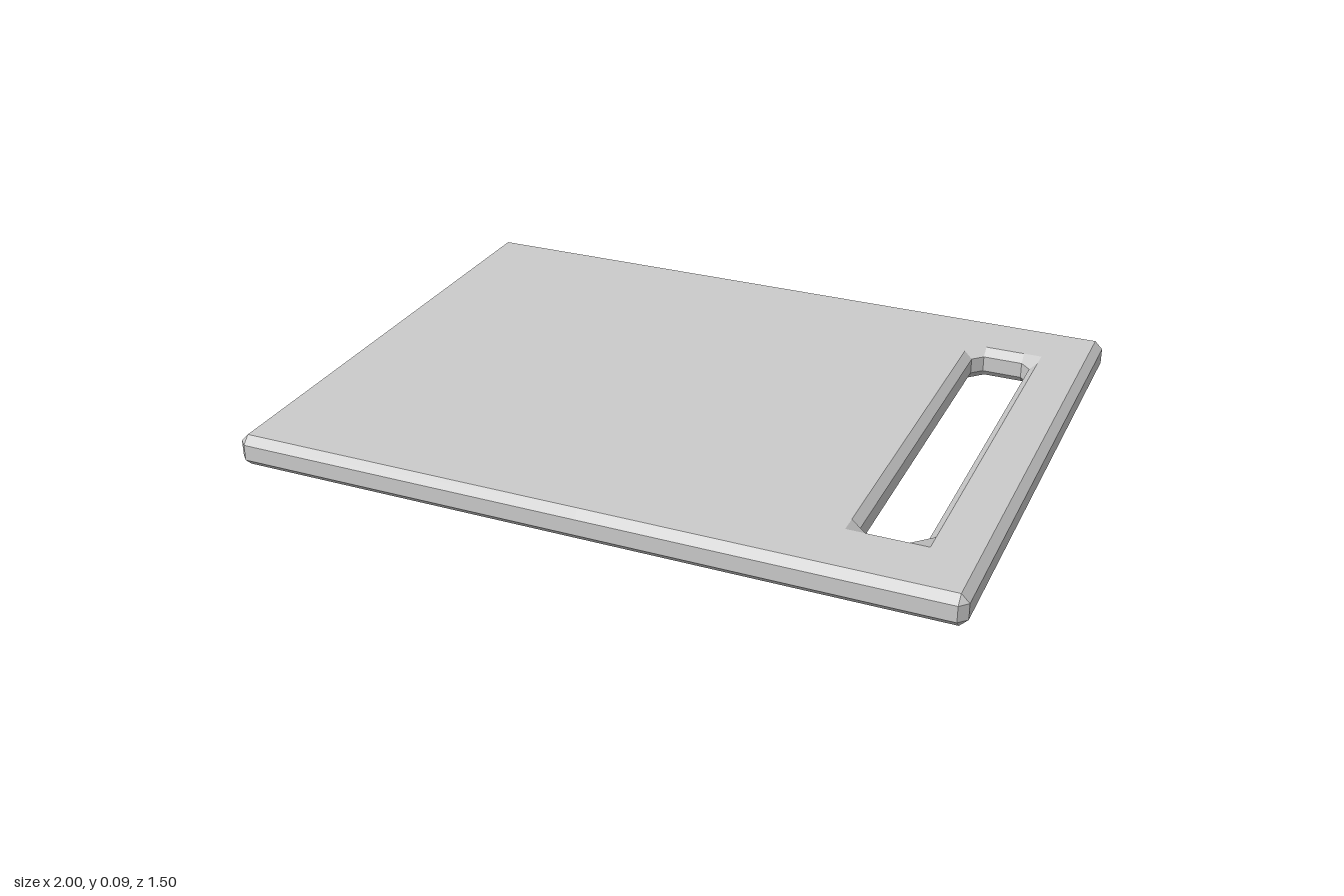
import * as THREE from 'three';

const X = 1, Z = 0.752, H = 0.0445, C = 0.022; // half sizes of the board, chamfer
const SLOT_X = 0.749; // slot centre
const SX = 0.107, SZ = 0.565; // half size of the slot rim
const CX = 0.056, CZ = 0.515; // where the slot's corner cuts begin

export function createModel() {
  const pos = [], nor = [];

  // Flat polygon fanned from its first point, turned to look along "out"
  function face(pts, out) {
    const n = new THREE.Vector3();
    pts.forEach((p, i) => n.add(p.clone().cross(pts[(i + 1) % pts.length])));
    n.normalize();
    const flip = n.dot(out) < 0;
    if (flip) n.negate();
    for (let i = 1; i < pts.length - 1; i++) {
      const tri = flip ? [pts[0], pts[i + 1], pts[i]] : [pts[0], pts[i], pts[i + 1]];
      for (const p of tri) {
        pos.push(p.x, p.y + H, p.z);
        nor.push(n.x, n.y, n.z);
      }
    }
  }

  // One octant, mirrored in x, y and z
  for (const sx of [1, -1]) for (const sy of [1, -1]) for (const sz of [1, -1]) {
    const dir = (x, y, z) => new THREE.Vector3(sx * x, sy * y, sz * z);
    const O = dir; // point on the outer edge
    const I = (x, y, z) => dir(x, y, z).add(new THREE.Vector3(SLOT_X, 0, 0)); // point on the slot
    const m = H - C, x0 = X - C, z0 = Z - C, sx0 = SX - C, sz0 = SZ - C;

    // Flat face around the slot
    face([O(x0, H, 0), O(x0, H, z0), I(SX, H, SZ), I(SX, H, CZ), I(SX, H, 0)], dir(0, 1, 0));
    face([O(0, H, z0), O(x0, H, z0), I(SX, H, SZ), I(CX, H, SZ), I(0, H, SZ)], dir(0, 1, 0));

    // Outer chamfers, walls and corners
    face([O(x0, H, 0), O(x0, H, z0), O(X, m, z0), O(X, m, 0)], dir(1, 1, 0));
    face([O(0, H, z0), O(x0, H, z0), O(x0, m, Z), O(0, m, Z)], dir(0, 1, 1));
    face([O(X, m, 0), O(X, m, z0), O(X, 0, z0), O(X, 0, 0)], dir(1, 0, 0));
    face([O(0, m, Z), O(x0, m, Z), O(x0, 0, Z), O(0, 0, Z)], dir(0, 0, 1));
    face([O(X, m, z0), O(x0, m, Z), O(x0, 0, Z), O(X, 0, z0)], dir(1, 0, 1));
    face([O(x0, H, z0), O(X, m, z0), O(x0, m, Z)], dir(1, 1, 1));

    // Slot chamfers, walls and corners
    face([I(SX, H, 0), I(SX, H, CZ), I(sx0, m, CZ), I(sx0, m, 0)], dir(-1, 1, 0));
    face([I(0, H, SZ), I(CX, H, SZ), I(CX, m, sz0), I(0, m, sz0)], dir(0, 1, -1));
    face([I(sx0, m, 0), I(sx0, m, CZ), I(sx0, 0, CZ), I(sx0, 0, 0)], dir(-1, 0, 0));
    face([I(0, m, sz0), I(CX, m, sz0), I(CX, 0, sz0), I(0, 0, sz0)], dir(0, 0, -1));
    face([I(sx0, m, CZ), I(CX, m, sz0), I(CX, 0, sz0), I(sx0, 0, CZ)], dir(-1, 0, -1));
    face([I(SX, H, CZ), I(SX, H, SZ), I(CX, H, SZ), I(CX, m, sz0), I(sx0, m, CZ)], dir(-1, 1, -1));
  }

  const geometry = new THREE.BufferGeometry();
  geometry.setAttribute('position', new THREE.Float32BufferAttribute(pos, 3));
  geometry.setAttribute('normal', new THREE.Float32BufferAttribute(nor, 3));
  const board = new THREE.Mesh(geometry, new THREE.MeshStandardMaterial({ color: 0xcccccc }));
  board.name = 'cuttingBoard';

  const group = new THREE.Group();
  group.name = 'slottedBoard';
  group.add(board);
  return group;
}
